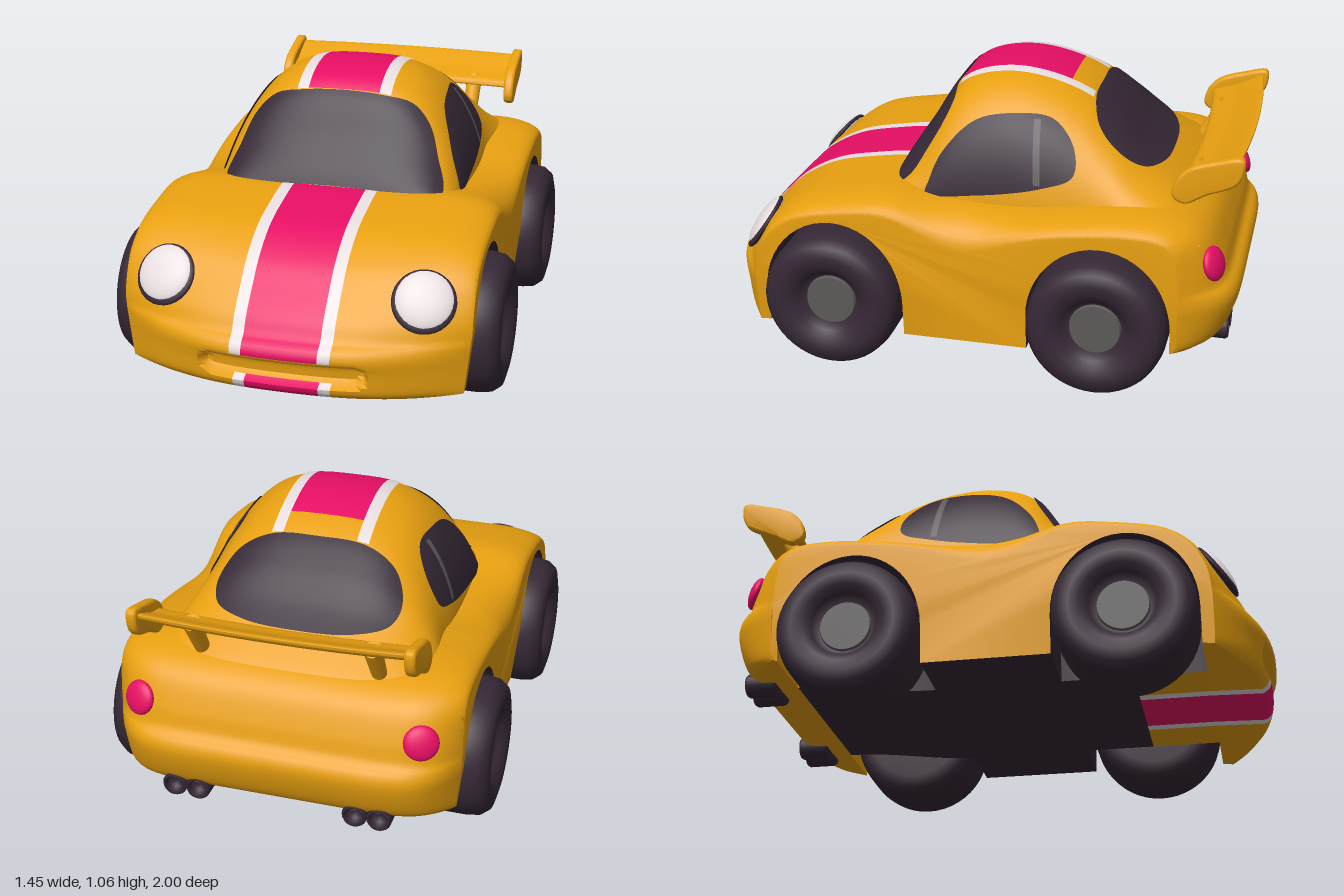
import * as THREE from 'three';
import { toCreasedNormals } from 'three/addons/utils/BufferGeometryUtils.js';

const V3 = THREE.Vector3, step = THREE.MathUtils.smoothstep;
const mat = (name, color, side = THREE.FrontSide) =>
  Object.assign(new THREE.MeshStandardMaterial({ color, side }), { name });

// Smooth curve through 2D points, sampled evenly
const curve = (pts, closed = false) =>
  new THREE.CatmullRomCurve3(pts.map(p => new V3(p[0], p[1], 0)), closed, 'centripetal');

// Grid surface: every vertex of a plane is moved to f(u, v)
function sheet(nu, nv, f) {
  const g = new THREE.PlaneGeometry(1, 1, nu, nv), p = g.attributes.position, uv = g.attributes.uv;
  for (let i = 0; i < p.count; i++) p.setXYZ(i, ...f(uv.getX(i), uv.getY(i)));
  g.computeVertexNormals();
  return g;
}

// Side profile of the lower body as [z, y], nose lip to tail lip
const profile = curve([
  [.95, .12], [.975, .14], [.99, .22], [1, .28], [.985, .31], [.955, .33], [.92, .385], [.84, .47],
  [.76, .545], [.625, .618], [.46, .655], [.3, .672], [.1, .64], [-.2, .63], [-.4, .655], [-.6, .675],
  [-.74, .665], [-.83, .635], [-.885, .59], [-.935, .49], [-.96, .415], [-.985, .395], [-1, .36],
  [-.985, .28], [-.945, .2], [-.9, .175]]).getSpacedPoints(200);

const WHEEL_Z = [.49, -.51], AXLE_Y = .265;

// One lengthwise slice of the lower body at a given x
function slice(x, arched) {
  const ax = Math.abs(x), t = Math.min(1, Math.max(0, (ax - .45) / .195));
  const drop = 1 - Math.sqrt(1 - t * t);
  const nose = .2 * (ax / .645) ** 2.5, tail = .2 * (ax / .645) ** 8;
  const tuck = y => x * (1 - .04 * Math.max(0, (.35 - y) / .23));
  const top = profile.map(p => {
    let z = p.x, y = p.y;
    const k = Math.max(0, (Math.abs(z) - .6) / .4) ** 2;
    if (y > .31) y = .31 + (y - .31) * (1 - drop * (.16 + .24 * Math.exp(-((z / .18) ** 2))));
    if (z > .8) { // air intake hollow
      const d = Math.hypot(Math.max(ax - .265, 0), y - .21) / .045;
      z -= .05 * (1 - step(d, .6, 1.1));
    }
    z -= Math.sign(z) * k * (p.x > 0 ? nose : tail);
    return new V3(tuck(y), y, z);
  });
  const base = z => .125 + .045 * step(-z, .25, .75);
  const bot = [top[0]];
  for (const cz of WHEEL_Z) {
    const add = (z, y) => bot.push(new V3(tuck(y), y, z));
    add(cz + .265, base(cz + .265));
    for (let k = 0; k <= 24; k++) {
      const a = Math.PI * k / 24, z = cz + .265 * Math.cos(a);
      add(z, arched ? AXLE_Y + .3 * Math.sin(a) : base(z));
    }
    add(cz - .265, base(cz - .265));
  }
  bot.push(top[top.length - 1]);
  return { x, top, bot };
}

// Lower body: slices joined from side to side, coloured by strip
function bodyGeometry() {
  const half = [.07, .14, .185, .23, .27, .295, .32, .38].map(x => [x, false]);
  half.push([.38, true]);
  for (let k = 0; k <= 8; k++) half.push([.45 + .195 * Math.sin(k / 8 * Math.PI / 2), true]);
  const all = [...half.map(([x, a]) => [-x, a]).reverse(), [0, false], ...half].map(s => slice(...s));
  const pos = [], tris = [[], [], [], []]; // paint, red, white, dark
  const put = list => list.map(p => pos.push(p.x, p.y, p.z) / 3 - 1);
  for (const s of all) { s.ti = put(s.top); s.bi = put(s.bot); }
  const stripe = x => x < .14 ? 1 : x < .185 ? 2 : 0;
  for (let i = 0; i + 1 < all.length; i++) {
    const A = all[i], B = all[i + 1], xm = Math.abs(A.x + B.x) / 2;
    for (let j = 0; j + 1 < A.ti.length && A.x !== B.x; j++) {
      const p = A.top[j], inSlot = p.z > .8 && p.y > .165 && p.y < .255;
      const [a, b, c, d] = [A.ti[j], B.ti[j], A.ti[j + 1], B.ti[j + 1]];
      tris[p.z > 0 && !inSlot ? stripe(xm) : 0].push(a, b, c, b, d, c);
    }
    for (let j = 0; j + 1 < A.bi.length; j++) {
      const z = (A.bot[j].z + A.bot[j + 1].z) / 2;
      const m = z > .76 || (z > .5 && xm < .37) ? stripe(xm) : z < -.77 ? 0 : 3;
      const [a, b, c, d] = [A.bi[j], B.bi[j], A.bi[j + 1], B.bi[j + 1]];
      tris[m].push(a, c, b, b, c, d);
    }
  }
  // Flat flanks with the wheel arches cut out
  for (const s of [all[0], all[all.length - 1]]) {
    const ids = [...s.bi, ...s.ti.slice(1, -1).reverse()];
    const outline = [...s.bot, ...s.top.slice(1, -1).reverse()].map(p => new THREE.Vector2(-p.z, p.y));
    for (const [a, b, c] of THREE.ShapeUtils.triangulateShape(outline, []))
      tris[0].push(...(s.x > 0 ? [a, b, c] : [a, c, b]).map(k => ids[k]));
  }
  const g = new THREE.BufferGeometry();
  g.setAttribute('position', new THREE.Float32BufferAttribute(pos, 3));
  g.setIndex(tris.flat());
  let start = 0;
  tris.forEach((t, m) => { g.addGroup(start, t.length, m); start += t.length; });
  return toCreasedNormals(g, .8);
}

// Cabin: roof height along z, rounded arch across x
const BASE = .58;
const roof = curve([[.37, .56], [.31, .69], [.22, .83], [.12, .985], [.04, 1.035], [-.1, 1.06], [-.25, 1.04],
  [-.39, .985], [-.5, .9], [-.61, .795], [-.74, .7], [-.82, .635], [-.87, .57]]).getSpacedPoints(240);
const between = (list, key, value, out, sign) => {
  let j = 1;
  while (j < list.length - 1 && (list[j][key] - value) * sign < 0) j++;
  const a = list[j - 1], b = list[j];
  const t = THREE.MathUtils.clamp((value - a[key]) / (b[key] - a[key] || 1), 0, 1);
  return a[out] + (b[out] - a[out]) * t;
};
const roofY = z => between(roof, 'x', z, 'y', -1);
const cabinW = z => .48 + .08 * step(-z, .35, .78);
const arch = X => Math.max(0, 1 - Math.abs(X) ** 3.2) ** .625;
const cabinY = (x, z) => BASE + (roofY(z) - BASE) * arch(x / cabinW(z));
const cabinX = (y, z) => {
  const a = THREE.MathUtils.clamp((y - BASE) / (roofY(z) - BASE), 0, .98);
  return cabinW(z) * (1 - a ** 1.6) ** (1 / 3.2);
};
const screenZ = (x, y) => between(roof, 'y', Math.min(1.055, BASE + (y - BASE) / arch(x / .48)), 'x', 1);

// Pane: closed outline filled from its middle and laid onto a surface
function pane(pts, map) {
  const c = curve(pts, true), mx = pts.reduce((s, p) => s + p[0], 0) / pts.length;
  const my = pts.reduce((s, p) => s + p[1], 0) / pts.length;
  return sheet(72, 14, (u, v) => {
    const p = c.getPoint(u % 1);
    return map(mx + (p.x - mx) * v, my + (p.y - my) * v);
  });
}
const mirrored = pts => [...pts, ...pts.slice(1, -1).reverse().map(p => [-p[0], p[1]])];

// Slab: [-z, y] outline extruded across x
function slab(pts, depth, bevel, steps = 1) {
  const shape = new THREE.Shape(curve(pts, true).getPoints(48).slice(0, -1).map(p => new THREE.Vector2(p.x, p.y)));
  const g = new THREE.ExtrudeGeometry(shape, { depth, steps, bevelEnabled: bevel > 0, bevelSize: bevel,
    bevelThickness: bevel, bevelOffset: -bevel, bevelSegments: 4 });
  return g.rotateY(Math.PI / 2).translate(-depth / 2, 0, 0);
}

// Depth of the nose (dir 1) or tail (dir -1) at x, y
function faceZ(x, y, dir) {
  const top = slice(x, false).top;
  return between(dir > 0 ? top : top.reverse(), 'y', y, 'z', 1);
}

export function createModel() {
  const car = new THREE.Group();
  car.name = 'car';
  const paint = mat('yellow paint', 0xe8a010), red = mat('raspberry stripe', 0xe60e64);
  const white = mat('off white', 0xe9dfe1), grey = mat('hub grey', 0x5c5959, THREE.DoubleSide);
  const dark = mat('dark rubber and glass', 0x352835, THREE.DoubleSide);
  const add = (name, geo, m, parent = car) => {
    const mesh = new THREE.Mesh(geo, m);
    mesh.name = name;
    parent.add(mesh);
    return mesh;
  };

  add('lowerBody', bodyGeometry(), [paint, red, white, dark]);
  add('cabin', sheet(64, 80, (u, v) => {
    const t = Math.PI * (1 - u), c = Math.cos(t), z = .365 - 1.225 * v;
    const h = Math.max(.01, roofY(z) - BASE);
    return [cabinW(z) * Math.sign(c) * Math.abs(c) ** .625, BASE + h * Math.max(0, Math.sin(t)) ** 1.25, z];
  }), paint);

  // Roof stripes
  const strip = (name, x0, x1, z1, m) => add(name, sheet(6, 40, (u, v) => {
    const x = x0 + (x1 - x0) * u, z = .115 + (z1 - .115) * v;
    return [x, cabinY(x, z) + .005, z];
  }), m);
  strip('roofStripe', -.14, .14, -.31, red);
  strip('roofStripeEdge', .14, .185, -.4, white);
  strip('roofStripeEdge', -.185, -.14, -.4, white);

  // Windows
  add('windshield', pane(mirrored([[0, .672], [.25, .665], [.4, .65], [.425, .665], [.39, .77], [.345, .88],
    [.27, .955], [.15, .982], [0, .99]]), (x, y) => [x, y + .004, screenZ(x, y) + .006]), dark);
  add('rearWindow', pane(mirrored([[0, -.405], [.2, -.41], [.31, -.45], [.35, -.54], [.32, -.62], [.2, -.675],
    [0, -.69]]), (x, z) => [x, cabinY(x, z) + .007, z - .002]), dark);
  const sideWindow = [[.175, .645], [.165, .69], [.125, .79], [.01, .91], [-.15, .945], [-.285, .93], [-.37, .84],
    [-.375, .75], [-.26, .7], [-.02, .655]];
  for (const s of [1, -1]) {
    add('sideWindow', pane(sideWindow, (z, y) => [s * (cabinX(y, z) + .006), y + .002, z]), dark);
    add('windowBar', sheet(1, 12, (u, v) => {
      const y = .71 + .22 * v, z = -.245 + .02 * v + (u - .5) * .025;
      return [s * (cabinX(y, z) + .009), y + .003, z];
    }), grey);
  }

  // Wheels
  const tyre = new THREE.LatheGeometry([[0, -.16], [.19, -.16], [.235, -.145], [.256, -.11], [.26, -.06], [.26, .08],
    [.253, .125], [.23, .155], [.19, .165], [.15, .158], [.12, .135], [.095, .105], [0, .105]]
    .map(p => new THREE.Vector2(...p)), 48);
  for (const s of [1, -1]) for (const z of WHEEL_Z) {
    const wheel = new THREE.Group();
    wheel.name = 'wheel';
    wheel.position.set(s * .562, AXLE_Y, z);
    wheel.rotation.z = -s * Math.PI / 2;
    add('tyre', tyre, dark, wheel);
    add('hub', new THREE.CylinderGeometry(.092, .1, .02, 32), grey, wheel).position.y = .108;
    car.add(wheel);
  }

  // Lamps set square to the bodywork
  const lamp = (name, x, y, dir, r, depth, m) => {
    const e = .03, dx = (faceZ(x + e, y, dir) - faceZ(x - e, y, dir)) / (2 * e);
    const dy = (faceZ(x, y + e, dir) - faceZ(x, y - e, dir)) / (2 * e);
    const n = new V3(-dx, -dy, 1).multiplyScalar(dir).normalize();
    const mesh = add(name, new THREE.SphereGeometry(1, 32, 16), m);
    mesh.scale.set(r, r, depth);
    mesh.quaternion.setFromUnitVectors(new V3(0, 0, 1), n);
    mesh.position.set(x, y, faceZ(x, y, dir)).addScaledVector(n, .004);
  };
  for (const s of [1, -1]) {
    lamp('headlightRim', s * .475, .462, 1, .115, .024, dark);
    lamp('headlight', s * .475, .465, 1, .108, .034, white);
    lamp('tailLight', s * .52, .5, -1, .064, .026, red);
  }

  // Rear wing with end plates and struts
  const wing = slab([[.785, .785], [.86, .8], [.98, .862], [.985, .882], [.87, .832], [.79, .805]], .98, 0, 16);
  const p = wing.attributes.position;
  for (let i = 0; i < p.count; i++) p.setZ(i, p.getZ(i) - .025 * (1 - (p.getX(i) / .49) ** 2) + .01);
  add('wing', toCreasedNormals(wing, .7), paint);
  const plate = toCreasedNormals(slab([[.745, .74], [.79, .715], [.87, .755], [.97, .8], [.995, .85], [.99, .9],
    [.9, .885], [.8, .85], [.755, .8]], .016, .012), .7);
  for (const s of [1, -1]) {
    add('wingEndPlate', plate, paint).position.x = s * .495;
    const strut = add('wingStrut', new THREE.CylinderGeometry(.034, .026, .22, 20), paint);
    strut.position.set(s * .33, .715, -.795);
    strut.rotation.x = -.55;
    // Twin exhaust pipes
    for (const x of [.295, .385]) {
      const pipe = add('exhaust', new THREE.LatheGeometry([[0, -.06], [.04, -.06], [.046, -.05], [.046, .05], [.04, .06],
        [.032, .055], [.03, .02], [0, .02]].map(q => new THREE.Vector2(...q)), 20), dark);
      pipe.rotation.x = -Math.PI / 2;
      pipe.position.set(s * x, .183, -.905);
    }
  }
  return car;
}
